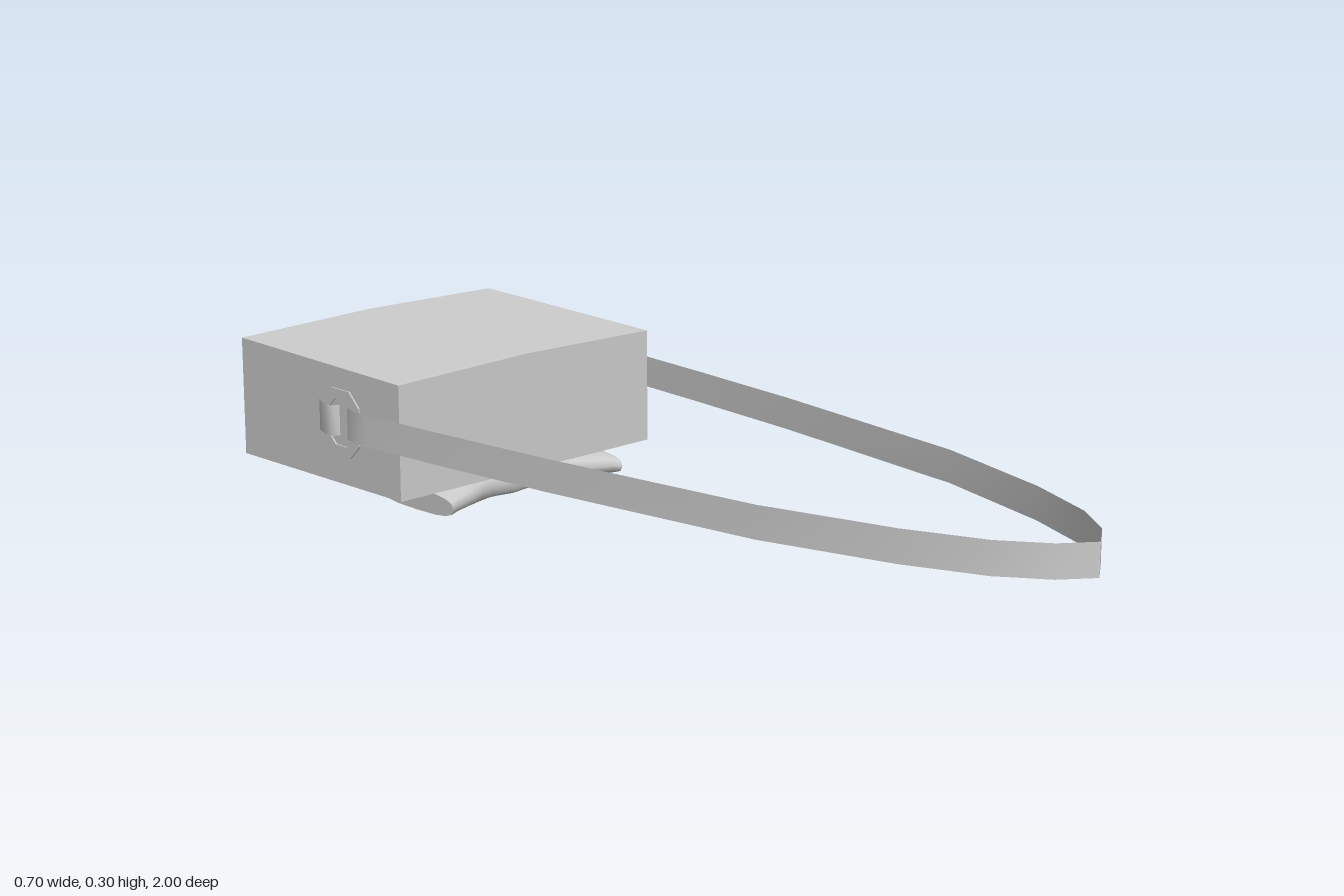
import * as THREE from 'three';

const grey = new THREE.MeshStandardMaterial({ color: 0xcccccc, side: THREE.DoubleSide });
grey.name = 'light grey';

function add(parent, name, geometry) {
  const mesh = new THREE.Mesh(geometry, grey);
  mesh.name = name;
  parent.add(mesh);
  return mesh;
}

// Surface through rows of [x, y, z] points; wrap joins the ends of each row
function loft(rows, wrap = false) {
  const n = rows[0].length, index = [];
  for (let i = 0; i < rows.length - 1; i++) {
    for (let j = 0; j < (wrap ? n : n - 1); j++) {
      const k = (j + 1) % n;
      const a = i * n + j, b = i * n + k, c = a + n, d = b + n;
      index.push(a, b, c, b, d, c);
    }
  }
  const g = new THREE.BufferGeometry();
  g.setAttribute('position', new THREE.Float32BufferAttribute(rows.flat(2), 3));
  g.setIndex(index);
  g.computeVertexNormals();
  return g;
}

// Upright ribbon following a plan path of [x, z]
function ribbon(path, side, y0, y1) {
  return loft(path.map(([x, z]) => [[side * x, y0, z], [side * x, y1, z]]));
}

function createBody() {
  let g = new THREE.BoxGeometry(0.64, 0.23, 0.48, 2, 1, 2);
  const p = g.attributes.position;
  for (let i = 0; i < p.count; i++) {
    const x = p.getX(i), z = p.getZ(i), top = p.getY(i) > 0;
    // lid rises towards the back and the middle
    const lid = 0.290 - z * 0.02 + 0.007 * (1 - Math.abs(x) / 0.32);
    p.setXYZ(i, x, top ? lid : 0.06, z - 0.64);
  }
  g = g.toNonIndexed();
  g.computeVertexNormals();
  return g;
}

// Bow cross-sections: x, half depth, bottom, top
function createBow() {
  const half = [
    [0.22, 0.108, 0.009, 0.052], [0.2, 0.1, 0.009, 0.057], [0.155, 0.085, 0.008, 0.061],
    [0.11, 0.068, 0.007, 0.065], [0.07, 0.05, 0.005, 0.059], [0.035, 0.043, 0.002, 0.058],
  ];
  const mirrored = half.map(([x, ...r]) => [-x, ...r]);
  const sections = [...mirrored, [0, 0.045, 0.0, 0.058], ...half.slice().reverse()];
  const rows = sections.map(([x, d, y0, y1]) => {
    const row = [];
    for (let i = 0; i < 16; i++) {
      const a = (i / 16) * Math.PI * 2, c = Math.cos(a), s = Math.sin(a);
      const round = (v) => Math.sign(v) * Math.abs(v) ** 0.7;
      row.push([x, (y0 + y1) / 2 + round(s) * (y1 - y0) / 2, -0.475 + round(c) * d]);
    }
    return row;
  });
  return { body: loft(rows, true), ends: [rows[0], rows[rows.length - 1]] };
}

function createRing() {
  const octagon = (shape, w, h, cut) => {
    const pts = [[w, h - cut], [w - cut, h], [cut - w, h], [-w, h - cut],
      [-w, cut - h], [cut - w, -h], [w - cut, -h], [w, cut - h]];
    shape.setFromPoints(pts.map(([x, y]) => new THREE.Vector2(x, y)));
    return shape;
  };
  const outline = octagon(new THREE.Shape(), 0.054, 0.065, 0.028);
  outline.holes.push(octagon(new THREE.Path(), 0.035, 0.045, 0.018));
  return new THREE.ExtrudeGeometry(outline, { depth: 0.003, bevelEnabled: false })
    .translate(0, 0, -0.0015).rotateY(Math.PI / 2);
}

export function createModel() {
  const model = new THREE.Group();
  model.name = 'shoulderBag';
  add(model, 'bagBody', createBody());

  // Bow under the bag, with flat end caps
  const bow = createBow();
  add(model, 'bow', bow.body);
  bow.ends.forEach((row) => {
    const centre = [row[0][0], 0.0305, -0.475];
    add(model, 'bowEnd', loft([row, row.map(() => centre)], true));
  });

  const strapPath = [[0, 1], [0.06, 0.955], [0.12, 0.87], [0.18, 0.72],
    [0.25, 0.46], [0.31, 0], [0.335, -0.27], [0.35, -0.46], [0.349, -0.5], [0.34, -0.53]];
  const tabPath = [[0.321, -0.635], [0.335, -0.62], [0.347, -0.59], [0.347, -0.567], [0.334, -0.56]];
  const ringGeometry = createRing();

  for (const side of [1, -1]) {
    const name = side > 0 ? 'left' : 'right';
    add(model, name + 'Strap', ribbon(strapPath, side, 0.16, 0.222));
    add(model, name + 'StrapTab', ribbon(tabPath, side, 0.161, 0.221));
    add(model, name + 'Ring', ringGeometry).position.set(side * 0.342, 0.19, -0.545);

    // Notched bow tail with a soft centre crease
    add(model, name + 'BowTail', loft([
      [[side * 0.005, 0.054, -0.5], [side * 0.025, 0.057, -0.5], [side * 0.045, 0.054, -0.5]],
      [[side * 0.022, 0.052, -0.88], [side * 0.07, 0.056, -0.88], [side * 0.12, 0.052, -0.88]],
      [[side * 0.025, 0.05, -0.99], [side * 0.08, 0.053, -0.978], [side * 0.132, 0.05, -1]],
    ]));

    // Thin diamond patch on the underside
    const patch = add(model, name + 'Patch', new THREE.CylinderGeometry(1, 1, 0.003, 4));
    patch.scale.set(0.041, 1, 0.075);
    patch.position.set(side * 0.2, 0.0585, -0.72);
  }
  return model;
}
